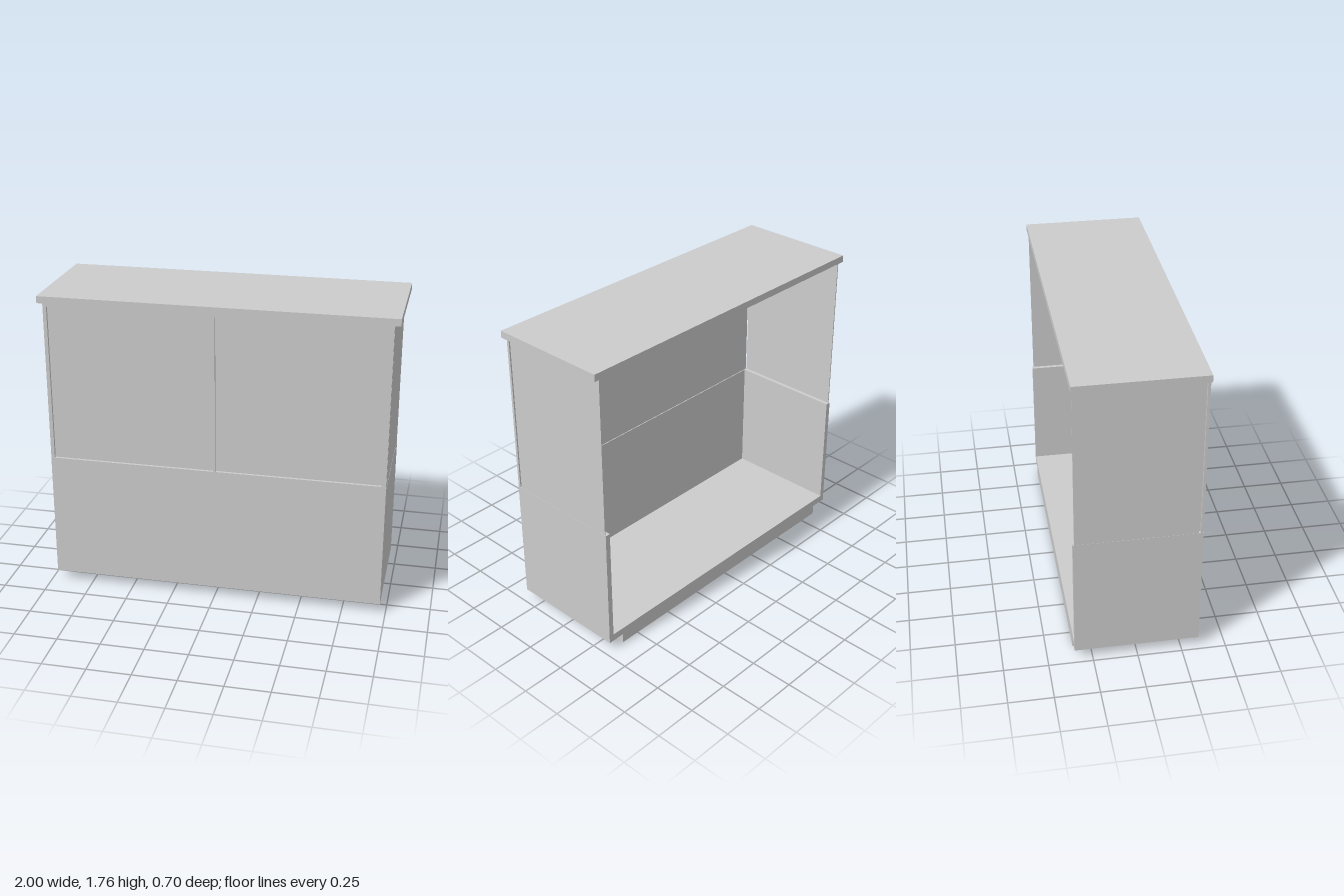
import * as THREE from 'three';

const grey = new THREE.MeshStandardMaterial({ color: 0xcccccc });
grey.name = 'plain grey';

export function createModel() {
  const model = new THREE.Group();
  model.name = 'cabinet';

  // Box given by its low and high limits on each axis
  function slab(name, [x0, x1], [y0, y1], [z0, z1]) {
    const mesh = new THREE.Mesh(new THREE.BoxGeometry(x1 - x0, y1 - y0, z1 - z0), grey);
    mesh.position.set((x0 + x1) / 2, (y0 + y1) / 2, (z0 + z1) / 2);
    mesh.name = name;
    model.add(mesh);
  }

  // Plinth, lower case open at the back, and top board
  slab('plinth', [-0.865, 0.865], [0, 0.057], [-0.35, 0.25]);
  slab('floor', [-0.967, 0.967], [0.057, 0.1], [-0.35, 0.35]);
  slab('lowerFront', [-0.967, 0.967], [0.1, 0.785], [0.32, 0.35]);
  slab('topBoard', [-1, 1], [1.722, 1.762], [-0.35, 0.35]);

  for (const [side, s] of [['left', 1], ['right', -1]]) {
    const span = (a, b) => (s > 0 ? [a, b] : [-b, -a]);
    slab(side + 'LowerSide', span(0.937, 0.967), [0.1, 0.785], [-0.35, 0.32]);
    // Thin upper side panel, leaving a slit behind the front frame
    slab(side + 'UpperSide', span(0.96, 0.966), [0.785, 1.716], [-0.343, 0.325]);
    // Door pane behind the frame
    slab(side + 'Pane', span(0, 0.95), [0.785, 1.712], [0.325, 0.335]);
  }

  // Front frame with two openings
  const frame = new THREE.Shape([
    [-0.966, 0.785], [0.966, 0.785], [0.966, 1.722], [-0.966, 1.722],
  ].map(([x, y]) => new THREE.Vector2(x, y)));
  for (const [x0, x1] of [[-0.945, -0.008], [0.005, 0.942]]) {
    frame.holes.push(new THREE.Path([
      [x0, 0.797], [x0, 1.705], [x1, 1.705], [x1, 0.797],
    ].map(([x, y]) => new THREE.Vector2(x, y))));
  }
  const frameMesh = new THREE.Mesh(
    new THREE.ExtrudeGeometry(frame, { depth: 0.015, bevelEnabled: false }), grey);
  frameMesh.position.z = 0.335;
  frameMesh.name = 'frontFrame';
  model.add(frameMesh);

  return model;
}
